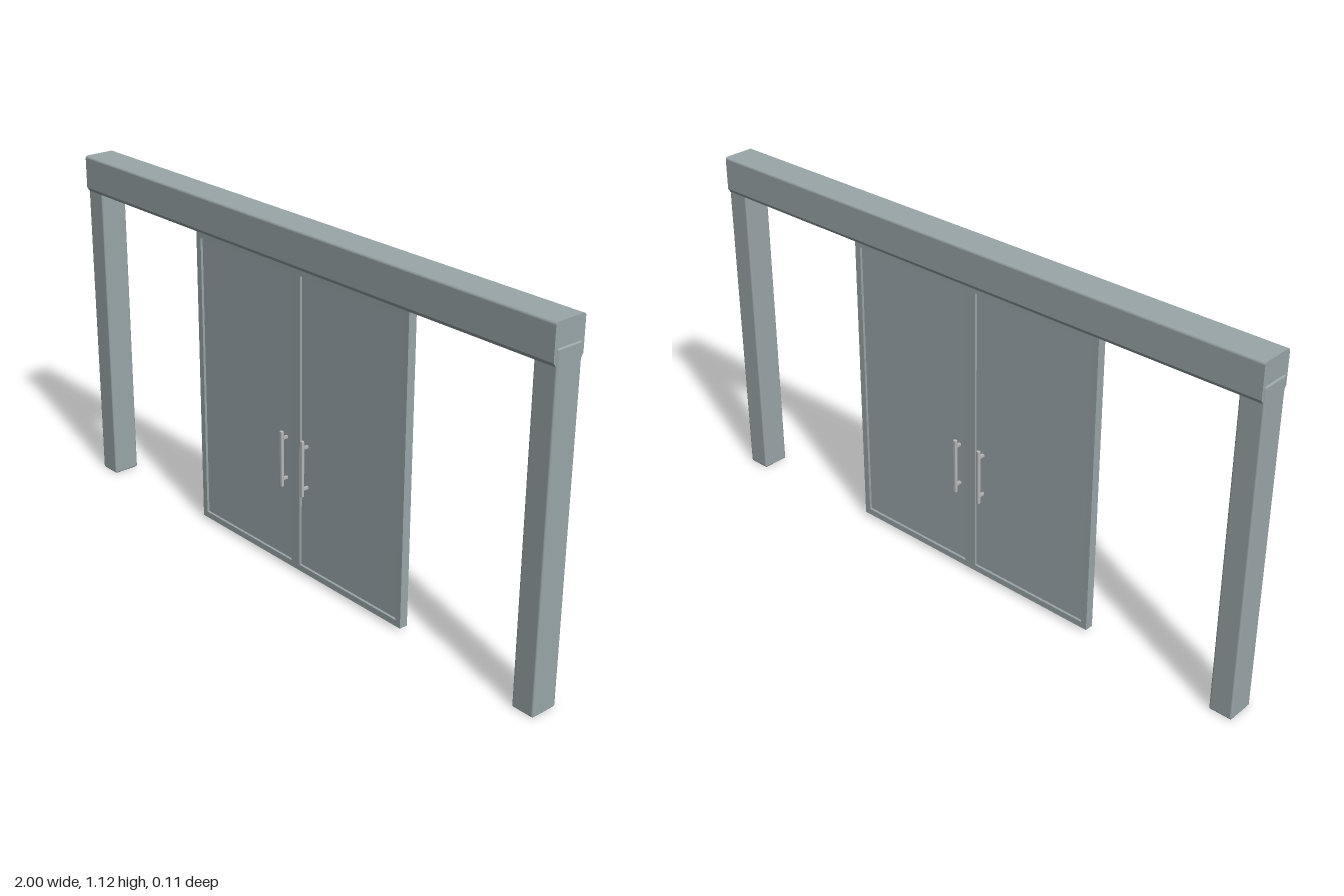
import * as THREE from 'three';
import { RoundedBoxGeometry } from 'three/addons/geometries/RoundedBoxGeometry.js';

export function createModel() {
  const model = new THREE.Group();
  const material = (name, color) => {
    const m = new THREE.MeshStandardMaterial({ color });
    m.name = name;
    return m;
  };
  const metal = material('grey metal', 0x9aa6a9);
  const glass = material('blue grey panel', 0x9ba8ae);
  const steel = material('handle steel', 0xb9b9bb);

  const add = (parent, name, geometry, mat, x, y, z = 0) => {
    const mesh = new THREE.Mesh(geometry, mat);
    mesh.name = name;
    mesh.position.set(x, y, z);
    parent.add(mesh);
    return mesh;
  };

  // Header beam with bevelled edges, closed at both ends
  const s = new THREE.Shape();
  s.moveTo(-0.046, 1.0);
  s.lineTo(0.046, 1.0);
  s.lineTo(0.054, 1.012);
  s.lineTo(0.054, 1.11);
  s.quadraticCurveTo(0.053, 1.116, 0.046, 1.117);
  s.lineTo(-0.046, 1.117);
  s.quadraticCurveTo(-0.053, 1.116, -0.054, 1.11);
  s.lineTo(-0.054, 1.012);
  s.closePath();
  const beam = new THREE.ExtrudeGeometry(s, { depth: 1.992, bevelEnabled: false, curveSegments: 4 });
  beam.translate(0, 0, -0.996).rotateY(Math.PI / 2);
  add(model, 'headerBeam', beam, metal, 0, 0);

  for (const side of [-1, 1]) {
    const label = side > 0 ? 'left' : 'right';

    // Post running up into the end of the beam
    add(model, label + 'Post', new RoundedBoxGeometry(0.075, 1.048, 0.09, 2, 0.006), metal, side * 0.9625, 0.524);

    // Framed sliding door leaf
    const door = new THREE.Group();
    door.name = label + 'Door';
    model.add(door);
    const w = 0.464, bottom = 0.012, top = 0.986, f = 0.02, t = 0.028;
    const cx = side * w / 2, cy = (bottom + top) / 2, h = top - bottom;
    add(door, 'panel', new THREE.BoxGeometry(w - 2 * f, h - 2 * f, 0.012), glass, cx, cy);
    for (const e of [-1, 1]) {
      add(door, 'stile', new THREE.BoxGeometry(f, h, t), metal, cx + e * (w - f) / 2, cy);
      add(door, 'rail', new THREE.BoxGeometry(w - 2 * f, f, t), metal, cx, cy + e * (h - f) / 2);
    }

    // Pull bars with standoffs on both faces
    for (const face of [-1, 1]) {
      const x = side * 0.047;
      add(door, 'handle', new RoundedBoxGeometry(0.012, 0.185, 0.01, 2, 0.003), steel, x, 0.372, face * 0.028);
      for (const y of [0.305, 0.44])
        add(door, 'handleMount', new THREE.BoxGeometry(0.008, 0.008, 0.02), steel, x, y, face * 0.015);
    }
  }
  return model;
}
